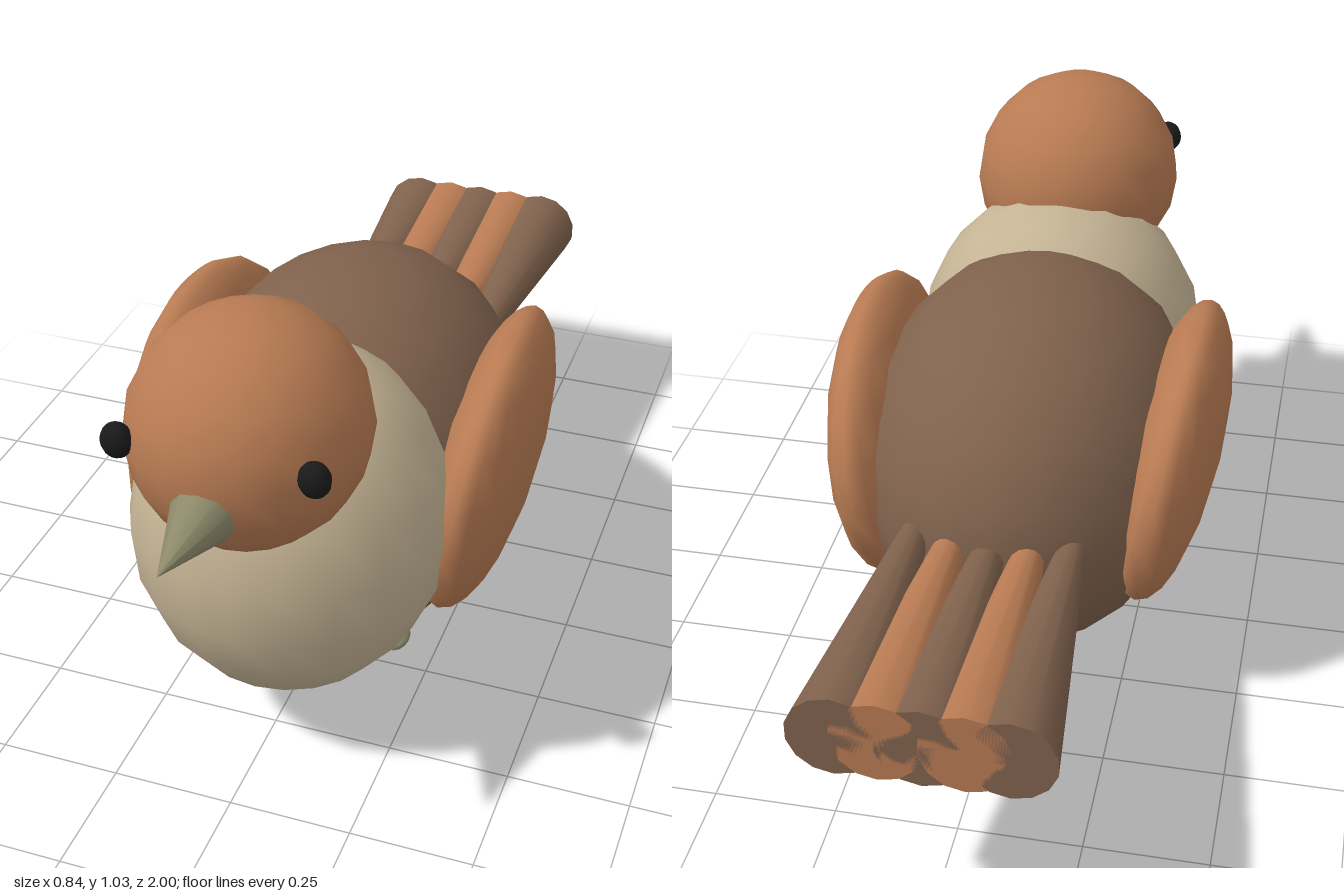
import * as THREE from 'three';

const mat = (color) => new THREE.MeshStandardMaterial({ color });

export function createModel() {
  const bird = new THREE.Group();
  bird.name = 'bird';
  const rust = mat(0xb87b53), brown = mat(0x80624d), cream = mat(0xc4b394);
  const horn = mat(0x8d8a6b), black = mat(0x1a1a1a);

  const add = (name, geometry, material, pos) => {
    const mesh = new THREE.Mesh(geometry, material);
    mesh.name = name;
    mesh.position.set(...pos);
    bird.add(mesh);
    return mesh;
  };
  const ellipsoid = (name, material, pos, radii, w = 20, h = 10) => {
    const mesh = add(name, new THREE.SphereGeometry(1, w, h), material, pos);
    mesh.scale.set(...radii);
    return mesh;
  };
  // Tapered round rod running from point a to point b
  const rod = (name, material, a, b, ra, rb, sides) => {
    const from = new THREE.Vector3(...a), to = new THREE.Vector3(...b);
    const dir = to.clone().sub(from);
    const mesh = add(name, new THREE.CylinderGeometry(rb, ra, dir.length(), sides), material,
      from.clone().add(to).multiplyScalar(0.5).toArray());
    mesh.quaternion.setFromUnitVectors(new THREE.Vector3(0, 1, 0), dir.normalize());
    return mesh;
  };

  // Body, breast and head
  ellipsoid('body', brown, [0, 0.415, 0.02], [0.37, 0.405, 0.5]);
  ellipsoid('breast', cream, [0, 0.465, 0.38], [0.325, 0.37, 0.335]).rotation.x = -0.1;
  ellipsoid('head', rust, [0, 0.803, 0.58], [0.23, 0.23, 0.248]);

  // Beak
  rod('beak', horn, [0, 0.752, 0.79], [0, 0.758, 1], 0.067, 0, 10);

  // Paired parts
  for (const [side, s] of [['left', 1], ['right', -1]]) {
    ellipsoid(side + 'Eye', black, [s * 0.187, 0.83, 0.747], [0.031, 0.036, 0.026], 14, 10);

    const wing = ellipsoid(side + 'Wing', rust, [s * 0.312, 0.436, 0.022], [0.102, 0.308, 0.385]);
    wing.rotation.set(0, s * 0.03, -s * 0.147);

    rod(side + 'Leg', rust, [s * 0.155, 0.11, 0.07], [s * 0.16, 0.025, 0.165], 0.02, 0.018, 10);
    ellipsoid(side + 'Foot', horn, [s * 0.16, 0.02, 0.18], [0.03, 0.017, 0.045], 14, 8);
  }

  // Tail of five widening feathers, alternating in colour
  for (let i = -2; i <= 2; i++) {
    rod('tailFeather', i % 2 ? rust : brown,
      [i * 0.08, 0.448, -0.4], [i * 0.08, 0.448, -1], 0.03, 0.087, 14);
  }
  return bird;
}
